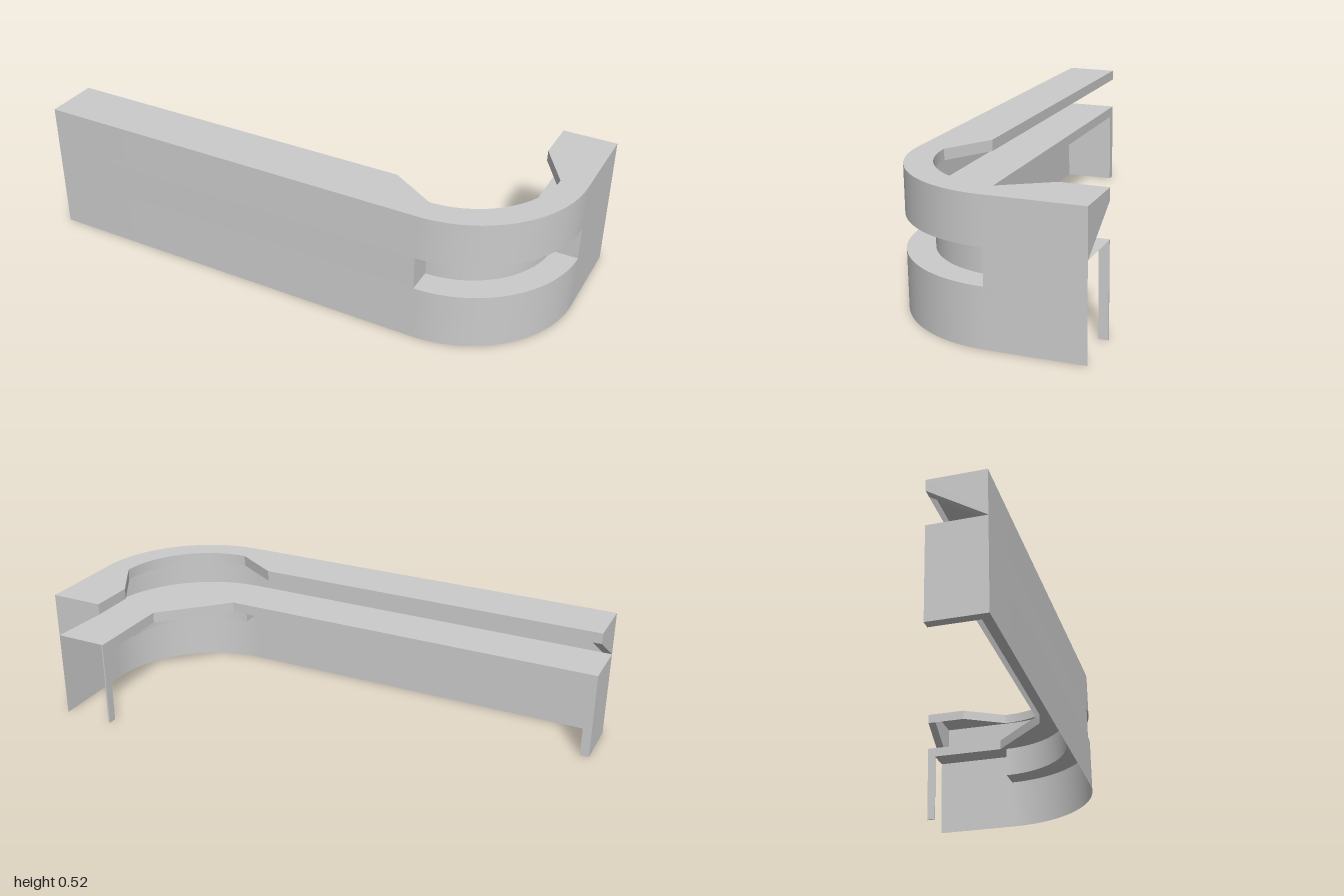
import * as THREE from 'three';
import { toCreasedNormals } from 'three/addons/utils/BufferGeometryUtils.js';

const material = new THREE.MeshStandardMaterial({ color: 0xcccccc, side: THREE.DoubleSide });

// Plan and heights
const F = 0.397, B = -0.397;          // front face and short end, in z
const IN_Z = 0.19, IN_X = 0.793;      // inner edges of the two arms
const CX = 0.553, CZ = -0.05, R = 0.447, RP = 0.347;  // rounded corner
const TOP = 0.517, DESK = 0.345, SLOT = 0.215, LIP = 0.042, T = 0.035;

// Quarter arc from the front arm to the side arm, as [x, z] points
function arc(r, n = 32) {
  return Array.from({ length: n + 1 }, (_, i) => {
    const a = (Math.PI / 2) * (1 - i / n);
    return [CX + r * Math.cos(a), CZ + r * Math.sin(a)];
  });
}

export function createModel() {
  const group = new THREE.Group();

  function add(name, geometry) {
    const mesh = new THREE.Mesh(geometry, material);
    mesh.name = name;
    group.add(mesh);
    return mesh;
  }

  // Upright sheet following a plan path
  function sheet(name, path, y0, y1) {
    const g = new THREE.PlaneGeometry(1, 1, path.length - 1, 1);
    const p = g.attributes.position;
    for (let i = 0; i < p.count; i++) {
      const [x, z] = path[i % path.length];
      p.setXYZ(i, x, i < path.length ? y1 : y0, z);
    }
    return add(name, toCreasedNormals(g, 0.5));
  }

  // Level sheet with a plan outline
  function level(name, outline, y) {
    const shape = new THREE.Shape(outline.map(([x, z]) => new THREE.Vector2(x, z)));
    const g = new THREE.ShapeGeometry(shape).rotateX(Math.PI / 2).translate(0, y, 0);
    return add(name, g);
  }

  const corner = arc(R), pocket = arc(RP);
  const outer = [[-1, F], ...corner, [1, B]];
  const deskEdge = [[-1, IN_Z], [CX, IN_Z], [IN_X, CZ], [IN_X, B]];
  const topEdge = [[-1, IN_Z], [0.38, IN_Z], ...pocket, [IN_X, -0.225], [IN_X, B]];

  // Outer wall, with a slot around the rounded corner
  sheet('lowerWall', outer, 0, SLOT);
  sheet('upperWall', outer, DESK, TOP);
  sheet('frontWallBesideSlot', [[-1, F], corner[0]], SLOT, DESK);
  sheet('sideWallBesideSlot', [corner[corner.length - 1], [1, B]], SLOT, DESK);

  // Recess behind the slot
  sheet('recessBack', pocket, SLOT, DESK);
  level('recessFloor', [...corner, ...[...pocket].reverse()], SLOT);
  for (const i of [0, corner.length - 1]) {
    sheet('recessEnd', [pocket[i], corner[i]], SLOT, DESK);
  }

  // Counter top and work surface, each with a hanging lip
  level('counterTop', [...outer, ...[...topEdge].reverse()], TOP);
  sheet('counterLip', topEdge, TOP - LIP, TOP);
  level('workSurface', [...outer, ...[...deskEdge].reverse()], DESK);
  sheet('workSurfaceLip', deskEdge, DESK - LIP, DESK);

  // Tapered brackets closing both ends under the counter
  function bracket(from, to) {
    const shape = new THREE.Shape([
      [from, TOP], [from, TOP - LIP], [to, DESK], [to, TOP],
    ].map(([u, y]) => new THREE.Vector2(u, y)));
    return new THREE.ExtrudeGeometry(shape, { depth: T, bevelEnabled: false });
  }
  add('longEndBracket', bracket(IN_Z, F).rotateY(-Math.PI / 2).translate(-1 + T, 0, 0));
  add('shortEndBracket', bracket(IN_X, 1).translate(0, 0, B));

  // Supports under the work surface
  const panel = add('endPanel', new THREE.BoxGeometry(T, DESK, F - IN_Z));
  panel.position.set(-1 + T / 2, DESK / 2, (F + IN_Z) / 2);
  const leg = add('leg', new THREE.BoxGeometry(0.006, DESK, T));
  leg.position.set(IN_X + 0.003, DESK / 2, B + T / 2);

  return group;
}
